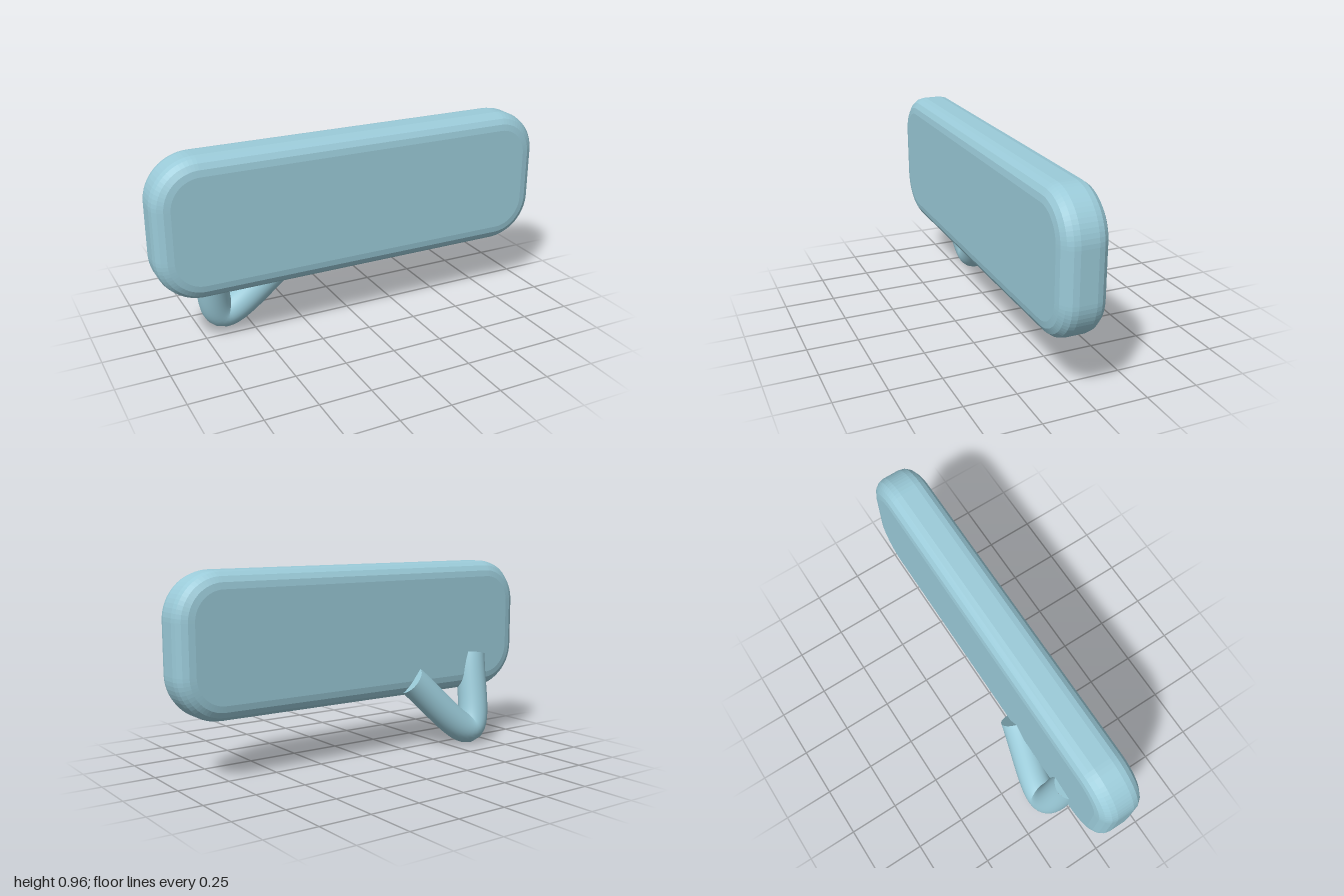
import * as THREE from 'three';

const material = new THREE.MeshStandardMaterial({ color: 0x9bcbd9 });

// Rounded rectangle outline centred on the origin
function roundedRect(w, h, r) {
  const s = new THREE.Shape();
  const x = w / 2 - r, y = h / 2 - r;
  s.absarc(x, y, r, 0, Math.PI / 2);
  s.absarc(-x, y, r, Math.PI / 2, Math.PI);
  s.absarc(-x, -y, r, Math.PI, Math.PI * 1.5);
  s.absarc(x, -y, r, Math.PI * 1.5, Math.PI * 2);
  s.closePath();
  return s;
}

export function createModel() {
  const group = new THREE.Group();
  const add = (name, geometry, parent = group) => {
    const mesh = new THREE.Mesh(geometry, material);
    mesh.name = name;
    parent.add(mesh);
    return mesh;
  };

  // Thick panel with a soft bevel all round
  const bevel = 0.08, thick = 0.07;
  const panel = add('panel', new THREE.ExtrudeGeometry(
    roundedRect(2 - 2 * bevel, 0.676 - 2 * bevel, 0.14),
    { depth: 0.223 - 2 * thick, bevelEnabled: true, bevelThickness: thick,
      bevelSize: bevel, bevelSegments: 4, curveSegments: 8 }));
  panel.position.set(0, 0.627, -0.055 + thick);

  // Bent tube behind the panel, lying in a plane tilted backwards
  const radius = 0.078;
  const path = new THREE.CatmullRomCurve3([
    new THREE.Vector3(-0.71, 0.469, -0.007),
    new THREE.Vector3(-0.635, 0.088, -0.088),
    new THREE.Vector3(-0.283, 0.37, -0.027),
  ]);
  const hook = new THREE.Group();
  hook.name = 'hook';
  group.add(hook);
  add('hookTube', new THREE.TubeGeometry(path, 48, radius, 32, false), hook);

  // Flat caps on both tube ends
  for (const [t, sign, name] of [[0, -1, 'hookCapOuter'], [1, 1, 'hookCapInner']]) {
    const cap = add(name, new THREE.CircleGeometry(radius, 32), hook);
    const normal = path.getTangentAt(t).multiplyScalar(sign);
    cap.position.copy(path.getPointAt(t));
    cap.quaternion.setFromUnitVectors(new THREE.Vector3(0, 0, 1), normal);
  }
  return group;
}
